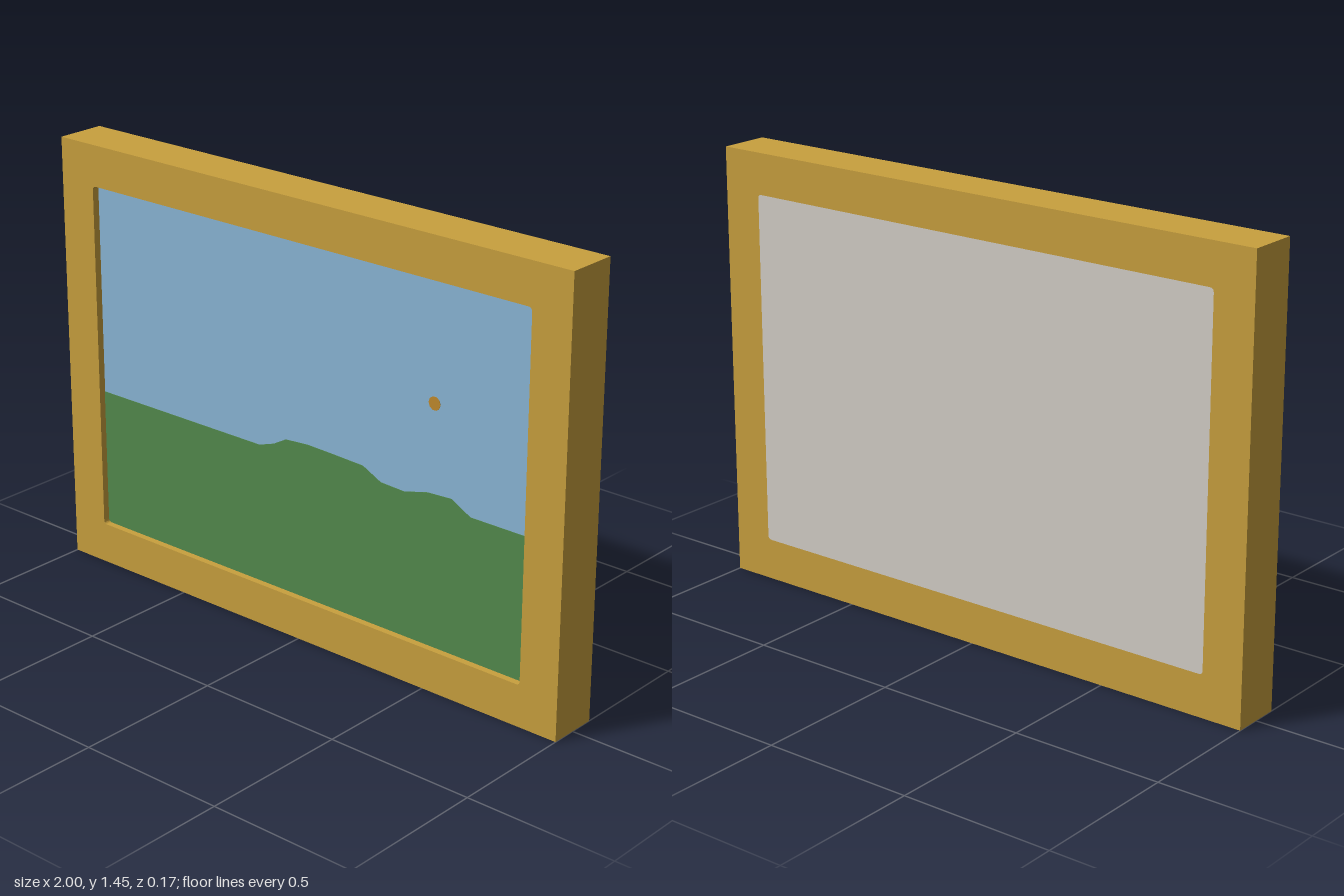
import * as THREE from 'three';

const W = 2, H = 1.446, HALF_D = 0.084;
const IN_X = 0.864, IN_B = 0.138, IN_T = 1.31, R = 0.014;
const HORIZON = 0.605;

const material = (name, color) => {
  const m = new THREE.MeshStandardMaterial({ color });
  m.name = name;
  return m;
};

// rounded rectangle of the opening, optionally grown by a margin
function openingPath(path, grow = 0) {
  const x = IN_X + grow, b = IN_B - grow, t = IN_T + grow;
  path.moveTo(-x + R, b);
  path.lineTo(x - R, b);
  path.quadraticCurveTo(x, b, x, b + R);
  path.lineTo(x, t - R);
  path.quadraticCurveTo(x, t, x - R, t);
  path.lineTo(-x + R, t);
  path.quadraticCurveTo(-x, t, -x, t - R);
  path.lineTo(-x, b + R);
  path.quadraticCurveTo(-x, b, -x + R, b);
  return path;
}

export function createModel() {
  const group = new THREE.Group();
  group.name = 'framedLandscape';
  const gold = material('gold', 0xc8a03e);
  const sky = material('skyBlue', 0x8ab6d6);
  const green = material('meadowGreen', 0x538a4c);
  const grey = material('backingGrey', 0xd4cfc7);
  const orange = material('sunOrange', 0xc08a2c);

  // a slab between two depths, extruded from a shape
  const slab = (name, shape, z0, z1, mat) => {
    const geo = new THREE.ExtrudeGeometry(shape, { depth: z1 - z0, bevelEnabled: false, curveSegments: 5 });
    geo.translate(0, 0, z0);
    const mesh = new THREE.Mesh(geo, mat);
    mesh.name = name;
    group.add(mesh);
  };

  // frame with its opening
  const border = new THREE.Shape([
    [-W / 2, 0], [W / 2, 0], [W / 2, H], [-W / 2, H],
  ].map(([x, y]) => new THREE.Vector2(x, y)));
  border.holes.push(openingPath(new THREE.Path()));
  slab('frame', border, -HALF_D, HALF_D, gold);

  // backing board, flush with the rear of the frame
  slab('backing', openingPath(new THREE.Shape()), -HALF_D, 0.054, grey);

  // painted sky, set a little behind the frame's front
  slab('sky', openingPath(new THREE.Shape()), 0.054, 0.06, sky);

  // meadow with low hills on the horizon
  const meadow = new THREE.Shape();
  meadow.moveTo(-IN_X + R, IN_B);
  meadow.lineTo(IN_X - R, IN_B);
  meadow.quadraticCurveTo(IN_X, IN_B, IN_X, IN_B + R);
  meadow.lineTo(IN_X, HORIZON);
  [[0.65, 0], [0.58, 0.038], [0.49, 0.033], [0.4, 0.01], [0.31, 0.014], [0.24, 0.048],
    [0.13, 0.052], [0.02, 0.055], [-0.07, 0.048], [-0.12, 0.02], [-0.18, 0]]
    .forEach(([x, h]) => meadow.lineTo(x, HORIZON + h));
  meadow.lineTo(-IN_X, HORIZON);
  meadow.lineTo(-IN_X, IN_B + R);
  meadow.quadraticCurveTo(-IN_X, IN_B, -IN_X + R, IN_B);
  slab('meadow', meadow, 0.06, 0.0615, green);

  // small low sun
  const disc = new THREE.Shape();
  disc.absarc(0.51, 0.925, 0.022, 0, Math.PI * 2);
  slab('sun', disc, 0.06, 0.0612, orange);

  return group;
}
